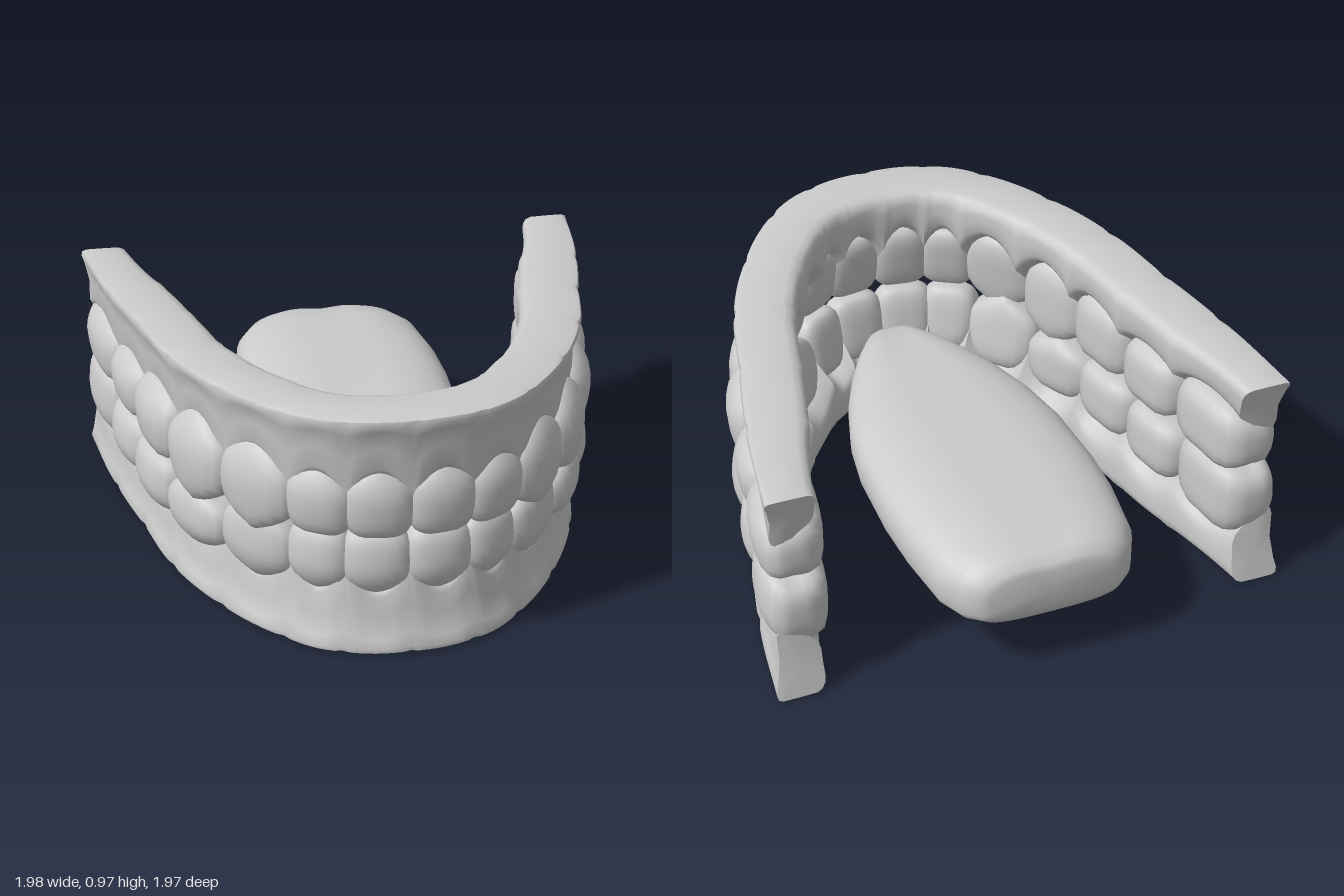
import * as THREE from 'three';
import { mergeVertices, toCreasedNormals } from 'three/addons/utils/BufferGeometryUtils.js';

const material = new THREE.MeshStandardMaterial({ color: 0xcccccc });
const { lerp, smoothstep } = THREE.MathUtils;

// Each jaw, from the midline to the back: nodes are [x, z] of the tooth boundaries,
// papilla is the gum height there, teeth are [gum line, biting edge].
const JAWS = {
  upper: {
    nodes: [[0, 0.97], [0.235, 0.935], [0.435, 0.815], [0.635, 0.57], [0.78, 0.27], [0.855, -0.06], [0.92, -0.38], [0.982, -0.77]],
    papilla: [0.62, 0.64, 0.63, 0.61, 0.63, 0.64, 0.64, 0.66],
    teeth: [[0.75, 0.48], [0.74, 0.48], [0.76, 0.42], [0.75, 0.4], [0.73, 0.455], [0.7, 0.46], [0.71, 0.455]],
    base: z => 0.875 + (z + 0.8) * 0.055,
  },
  lower: {
    nodes: [[0, 0.925], [0.235, 0.885], [0.425, 0.76], [0.63, 0.52], [0.785, 0.22], [0.86, -0.1], [0.925, -0.42], [0.982, -0.8]],
    papilla: [0.37, 0.37, 0.36, 0.34, 0.32, 0.31, 0.3, 0.3],
    teeth: [[0.24, 0.49], [0.24, 0.49], [0.21, 0.51], [0.21, 0.46], [0.22, 0.46], [0.22, 0.46], [0.21, 0.5]],
    base: () => 0.005,
  },
};
const NAMES = ['centralIncisor', 'lateralIncisor', 'canine', 'premolar', 'firstMolar', 'secondMolar', 'thirdMolar'];
const DEPTH = [0.19, 0.19, 0.21, 0.235, 0.26, 0.265, 0.25];
const BULGE = [0.012, 0.012, 0.022, 0.03, 0.036, 0.034, 0.032];
const SPAN = 14; // teeth per jaw

// Gum section: [outer to inner, gum line to base]
const GUM = [[0.32, -0.08], [0.12, 0], [0.07, 0.1], [0.1, 0.45], [0.04, 0.78], [0, 0.91], [0.03, 0.975], [0.12, 1], [0.5, 1],
  [0.82, 0.995], [0.93, 0.96], [0.99, 0.89], [1, 0.78], [0.97, 0.6], [0.95, 0.42], [0.88, 0.3], [0.65, 0.15]];

// Skin closed rings of points and close both ends
function loft(rings, flip, crease) {
  const n = rings[0].length;
  const positions = [], index = [];
  const centre = ring => ring.reduce((s, p) => s.add(p), new THREE.Vector3()).divideScalar(n);
  rings.forEach(r => r.forEach(p => positions.push(p.x, p.y, p.z)));
  const tri = (a, b, c) => (flip ? index.push(a, c, b) : index.push(a, b, c));
  for (let i = 0; i < rings.length - 1; i++) {
    for (let j = 0; j < n; j++) {
      const a = i * n + j, b = i * n + (j + 1) % n;
      tri(a, a + n, b + n);
      tri(a, b + n, b);
    }
  }
  const last = rings.length - 1;
  [rings[0], rings[last]].forEach((ring, end) => {
    const c = positions.length / 3, o = end * last * n;
    const p = centre(ring);
    positions.push(p.x, p.y, p.z);
    for (let j = 0; j < n; j++) {
      const a = o + j, b = o + (j + 1) % n;
      if (end) tri(a, c, b); else tri(a, b, c);
    }
  });
  const geometry = new THREE.BufferGeometry();
  geometry.setAttribute('position', new THREE.Float32BufferAttribute(positions, 3));
  geometry.setIndex(index);
  return toCreasedNormals(geometry, crease);
}

// Arch curve along the outer faces, from the right back to the left back
function archCurve(nodes) {
  const half = nodes.map(([x, z]) => new THREE.Vector3(x, 0, z));
  const mirrored = half.slice(1).reverse().map(p => new THREE.Vector3(-p.x, 0, p.z));
  return new THREE.CatmullRomCurve3([...mirrored, ...half], false, 'catmullrom', 0.5);
}

function frame(curve, t) {
  const p = curve.getPoint(t), tangent = curve.getTangent(t);
  return { p, inward: new THREE.Vector3(tangent.z, 0, -tangent.x) };
}

function gumGeometry(jaw, curve, isLower) {
  const steps = SPAN * 8, rings = [];
  for (let i = 0; i <= steps; i++) {
    const t = i / steps, { p, inward } = frame(curve, t);
    // Scalloped gum line, dipping between the teeth
    const s = Math.abs(t - 0.5) * SPAN;
    const k = Math.min(6, Math.floor(s)), f = s - k;
    const pinch = Math.pow(Math.abs(2 * f - 1), 2);
    const edge = lerp(jaw.teeth[k][0], jaw.papilla[f < 0.5 ? k : k + 1], pinch);
    const back = smoothstep(s, 1, 7);
    const end = smoothstep(s, 6, 7);
    inward.z *= 1 - end; // square back end
    const width = lerp(0.228, 0.185, smoothstep(s, 5.7, 7));
    const side = 0.026 * Math.sin(Math.PI * back) + 0.006 * Math.pow(pinch, 6) * (1 - end);
    const base = jaw.base(p.z);
    rings.push(GUM.map(([across, up]) => {
      const flare = up > 0 ? up * up : 0;
      const inset = side + across * width - flare * lerp(isLower ? 0.03 : 0.018, 0.01, back);
      const q = p.clone().addScaledVector(inward, inset);
      q.y = lerp(edge, base, up);
      q.z -= 0.045 * flare * smoothstep(s, 6.3, 7); // flared back end
      return q;
    }));
  }
  return loft(rings, isLower, 0.9);
}

// Tooth: a boxy ball, narrowed at the neck and shaped at the biting edge
function toothGeometry(kind, width, height, isLower) {
  const molar = kind > 3, pointed = kind === 2 || kind === 3;
  const depth = DEPTH[kind];
  const power = molar ? 4 : 3.6;
  const sphere = new THREE.SphereGeometry(1, 24, 18);
  sphere.deleteAttribute('uv');
  sphere.deleteAttribute('normal');
  const geometry = mergeVertices(sphere, 1e-4);
  const pos = geometry.attributes.position;
  for (let i = 0; i < pos.count; i++) {
    let x = pos.getX(i), y = pos.getY(i), z = pos.getZ(i);
    const r = Math.pow(Math.abs(x) ** power + Math.abs(y) ** power + Math.abs(z) ** power, -1 / power);
    x *= r; y *= r; z *= r;
    const crown = isLower ? y : -y;
    const neck = Math.max(0, -crown), tip = Math.max(0, crown);
    let u = x * (1 - (molar ? 0.1 : 0.2) * neck * neck) * (1 - (pointed ? 0.2 : 0.03) * tip * tip);
    u *= 1 + 0.07 * z;
    let v = y;
    if (z > 0) v *= 1 - (molar ? 0.2 : 0.35) * neck * Math.abs(x) ** 1.4; // arched gum line
    if (pointed) v *= 1 - 0.35 * tip * Math.abs(x);
    if (molar) v *= 1 - 0.12 * tip * (1 - Math.abs(z)) - 0.04 * tip * (0.5 + 0.5 * Math.cos(x * 6));
    let w = z;
    if (kind < 3 && z < 0) w *= 1 - 0.25 * (crown + 1); // thin biting edge
    if (z > 0) w *= (1 - 0.1 * tip) * (1 - 0.4 * neck * neck) * (1 - 0.2 * x * x);
    pos.setXYZ(i, u * width / 2, v * height / 2, w * depth / 2 - depth / 2);
  }
  geometry.computeVertexNormals();
  return geometry;
}

function buildJaw(name, jaw) {
  const group = new THREE.Group();
  group.name = name + 'Jaw';
  const isLower = name === 'lower';
  const curve = archCurve(jaw.nodes);
  const gum = new THREE.Mesh(gumGeometry(jaw, curve, isLower), material);
  gum.name = name + 'Gum';
  group.add(gum);
  for (let i = 0; i < SPAN; i++) {
    const kind = i < 7 ? 6 - i : i - 7;
    const a = curve.getPoint(i / SPAN), b = curve.getPoint((i + 1) / SPAN);
    const { p, inward } = frame(curve, (i + 0.5) / SPAN);
    const [line, edge] = jaw.teeth[kind];
    const root = line + (isLower ? -0.025 : 0.025); // neck sunk into the gum
    const chord = b.clone().sub(a);
    const tooth = new THREE.Mesh(toothGeometry(kind, chord.length() * 1.03, Math.abs(edge - root), isLower), material);
    tooth.name = name + (i < 7 ? 'Right' : 'Left') + NAMES[kind][0].toUpperCase() + NAMES[kind].slice(1);
    tooth.position.copy(p).addScaledVector(inward, -BULGE[kind]);
    tooth.position.y = (edge + root) / 2;
    tooth.rotation.y = Math.atan2(-chord.z, chord.x);
    group.add(tooth);
  }
  return group;
}

// Tongue: stations of [z, half width, bottom, top], with a shallow middle groove
function buildTongue() {
  const stations = [[-0.99, 0.24, 0.26, 0.44], [-0.98, 0.275, 0.235, 0.465], [-0.93, 0.33, 0.222, 0.485], [-0.83, 0.38, 0.22, 0.5],
    [-0.6, 0.412, 0.22, 0.51], [-0.4, 0.422, 0.22, 0.505], [-0.1, 0.412, 0.22, 0.49], [0.1, 0.38, 0.22, 0.475], [0.3, 0.32, 0.22, 0.46],
    [0.45, 0.255, 0.22, 0.445], [0.58, 0.185, 0.225, 0.43], [0.68, 0.115, 0.235, 0.41], [0.725, 0.065, 0.26, 0.385], [0.74, 0.02, 0.3, 0.345]];
  const rings = stations.map(([z, w, low, top]) => {
    const mid = lerp(low, top, 0.42);
    return Array.from({ length: 40 }, (_, j) => {
      const a = j / 40 * Math.PI * 2, c = Math.cos(a), s = Math.sin(a);
      const x = w * Math.sign(c) * Math.abs(c) ** 0.65;
      const y = s > 0 ? mid + (top - mid) * s ** 0.75 - 0.01 * Math.exp(-((x / 0.06) ** 2)) : mid - (mid - low) * (-s) ** 0.5;
      return new THREE.Vector3(x, y, z);
    });
  });
  const tongue = new THREE.Mesh(loft(rings, true, 1), material);
  tongue.name = 'tongue';
  return tongue;
}

export function createModel() {
  const model = new THREE.Group();
  model.name = 'teethAndTongue';
  for (const [name, jaw] of Object.entries(JAWS)) model.add(buildJaw(name, jaw));
  model.add(buildTongue());
  return model;
}
